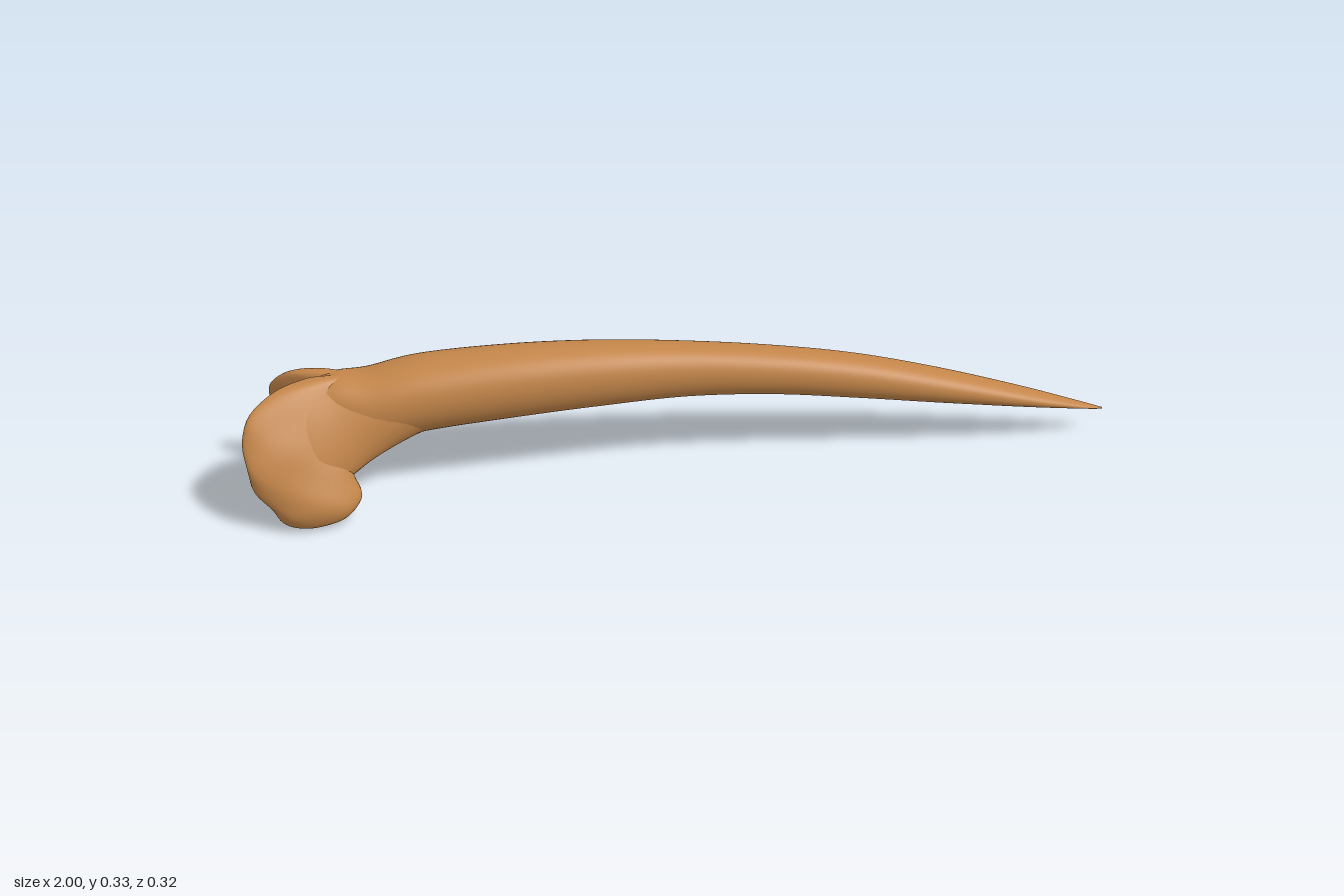
import * as THREE from 'three';

const material = new THREE.MeshStandardMaterial({ color: 0xc4864a, roughness: 0.8 });

// Smoothly interpolate rows of numbers (Catmull-Rom), t in 0..1
function sample(rows, t) {
  const f = t * (rows.length - 1);
  const i = Math.min(Math.floor(f), rows.length - 2), u = f - i;
  const row = k => rows[Math.max(0, Math.min(rows.length - 1, k))];
  const [a, b, c, d] = [row(i - 1), row(i), row(i + 1), row(i + 2)];
  return b.map((_, k) => 0.5 * (2 * b[k] + (c[k] - a[k]) * u
    + (2 * a[k] - 5 * b[k] + 4 * c[k] - d[k]) * u * u
    + (3 * b[k] - a[k] - 3 * c[k] + d[k]) * u * u * u));
}

// Closed skin over cross-sections; point(row, angle) gives [x, y, z]
function loft(name, rows, steps, sides, point) {
  const pos = [], index = [];
  for (let i = 0; i <= steps; i++) {
    const row = sample(rows, i / steps);
    for (let j = 0; j < sides; j++) pos.push(...point(row, j / sides * Math.PI * 2));
  }
  for (let i = 0; i < steps; i++) for (let j = 0; j < sides; j++) {
    const a = i * sides + j, b = i * sides + (j + 1) % sides;
    index.push(a, b, a + sides, b, b + sides, a + sides);
  }
  // end caps
  for (const [ring, flip] of [[0, true], [steps, false]]) {
    const c = [0, 0, 0];
    for (let j = 0; j < sides; j++) for (let k = 0; k < 3; k++) c[k] += pos[(ring * sides + j) * 3 + k] / sides;
    const n = pos.length / 3;
    pos.push(...c);
    for (let j = 0; j < sides; j++) {
      const a = ring * sides + j, b = ring * sides + (j + 1) % sides;
      index.push(...(flip ? [b, a, n] : [a, b, n]));
    }
  }
  const geo = new THREE.BufferGeometry();
  geo.setAttribute('position', new THREE.Float32BufferAttribute(pos, 3));
  geo.setIndex(index);
  geo.computeVertexNormals();
  const mesh = new THREE.Mesh(geo, material);
  mesh.name = name;
  return mesh;
}

const signedPow = (v, p) => Math.sign(v) * Math.abs(v) ** p;

export function createModel() {
  const group = new THREE.Group();
  group.name = 'boneSpine';

  // Tapering shaft: x, bottom y, top y, back z, front z, groove depth
  const shaft = [
    [-0.88, 0.17, 0.265, -0.04, 0.02, 0],
    [-0.85, 0.125, 0.288, -0.06, 0.035, 0],
    [-0.79, 0.108, 0.302, -0.09, 0.056, 0],
    [-0.72, 0.125, 0.302, -0.1, 0.066, 0.006],
    [-0.6, 0.148, 0.321, -0.107, 0.068, 0.015],
    [-0.4, 0.163, 0.33, -0.095, 0.065, 0.024],
    [-0.2, 0.172, 0.324, -0.083, 0.058, 0.03],
    [0, 0.176, 0.305, -0.07, 0.05, 0.03],
    [0.2, 0.166, 0.28, -0.056, 0.055, 0.028],
    [0.4, 0.143, 0.246, -0.04, 0.066, 0.024],
    [0.6, 0.118, 0.196, -0.018, 0.076, 0.018],
    [0.8, 0.094, 0.136, 0.012, 0.079, 0.01],
    [0.94, 0.075, 0.089, 0.038, 0.069, 0.002],
    [1, 0.066, 0.07, 0.054, 0.06, 0],
  ];
  group.add(loft('shaft', shaft, 104, 48, ([x, y0, y1, z0, z1, groove], a) => {
    const c = Math.cos(a), s = Math.sin(a);
    const hw = (z1 - z0) / 2, hh = (y1 - y0) / 2;
    // the underside narrows a little and carries a lengthwise groove
    const narrow = s < 0 ? 1 + 0.15 * s : 1;
    const notch = s < 0 ? groove * Math.exp(-((c / 0.25) ** 2)) : 0;
    return [x, (y0 + y1) / 2 + hh * signedPow(s, 0.85) + notch,
      (z0 + z1) / 2 - hw * signedPow(c, 0.88) * narrow];
  }));

  // Flared base lobes: y, centre x, half length, centre z, half thickness, skew
  const frontLobe = [
    [0.306, -0.84, 0.03, 0, 0.01, -0.2],
    [0.296, -0.845, 0.085, 0.008, 0.02, -0.28],
    [0.26, -0.855, 0.128, 0.028, 0.03, -0.34],
    [0.19, -0.872, 0.127, 0.07, 0.038, -0.32],
    [0.12, -0.877, 0.11, 0.1, 0.044, -0.2],
    [0.06, -0.858, 0.1, 0.117, 0.045, -0.08],
    [0.025, -0.863, 0.078, 0.122, 0.036, 0],
    [0.007, -0.87, 0.045, 0.123, 0.022, 0],
    [0, -0.87, 0.012, 0.123, 0.006, 0],
  ];
  const backLobe = [
    [0.3, -0.82, 0.03, -0.045, 0.01, 0.2],
    [0.285, -0.825, 0.075, -0.052, 0.022, 0.3],
    [0.24, -0.84, 0.1, -0.068, 0.03, 0.38],
    [0.18, -0.85, 0.1, -0.09, 0.036, 0.36],
    [0.12, -0.852, 0.096, -0.102, 0.045, 0.25],
    [0.07, -0.852, 0.091, -0.111, 0.049, 0.12],
    [0.035, -0.845, 0.07, -0.118, 0.036, 0.03],
    [0.016, -0.84, 0.042, -0.12, 0.022, 0],
    [0.009, -0.84, 0.012, -0.12, 0.006, 0],
  ];
  const lobePoint = ([y, xc, hx, zc, ht, skew], a) => {
    // faint surface unevenness
    const bump = 1 + 0.025 * Math.sin(3 * a + 45 * y) + 0.012 * Math.sin(5 * a - 70 * y);
    const dx = hx * Math.cos(a) * bump;
    return [xc + dx, y, zc + ht * Math.sin(a) * bump + skew * dx];
  };
  group.add(loft('frontLobe', frontLobe, 40, 32, lobePoint));
  group.add(loft('backLobe', backLobe, 40, 32, lobePoint));

  // Webs that blend the shaft into each lobe: x, centre y, half height, centre z, half thickness, lean
  const webs = {
    frontWeb: [
      [-0.95, 0.2, 0.04, 0.088, 0.016, -0.5],
      [-0.87, 0.185, 0.1, 0.07, 0.036, -0.48],
      [-0.79, 0.19, 0.098, 0.048, 0.042, -0.4],
      [-0.72, 0.207, 0.086, 0.03, 0.044, -0.25],
      [-0.62, 0.23, 0.074, 0.012, 0.048, -0.08],
      [-0.5, 0.245, 0.06, -0.005, 0.04, 0],
    ],
    backWeb: [
      [-0.92, 0.18, 0.04, -0.11, 0.016, 0.45],
      [-0.86, 0.175, 0.1, -0.092, 0.036, 0.4],
      [-0.79, 0.185, 0.1, -0.078, 0.038, 0.32],
      [-0.72, 0.205, 0.086, -0.064, 0.038, 0.18],
      [-0.62, 0.23, 0.074, -0.052, 0.044, 0.04],
      [-0.5, 0.245, 0.06, -0.03, 0.04, 0],
    ],
  };
  for (const [name, rows] of Object.entries(webs)) {
    group.add(loft(name, rows, 40, 32, ([x, yc, hy, zc, ht, lean], a) => {
      const dy = hy * Math.sin(a);
      return [x, yc + dy, zc - ht * Math.cos(a) + lean * dy];
    }));
  }

  // Thin bridge between the lobes
  const bridge = new THREE.Mesh(new THREE.CylinderGeometry(0.008, 0.008, 0.2, 16), material);
  bridge.name = 'bridge';
  bridge.rotation.x = Math.PI / 2;
  bridge.position.set(-0.86, 0.058, 0);
  group.add(bridge);

  // Small knob on the end of the back lobe
  const knob = new THREE.Mesh(new THREE.SphereGeometry(0.012, 16, 12), material);
  knob.name = 'knob';
  knob.position.set(-0.776, 0.062, -0.128);
  group.add(knob);

  return group;
}
